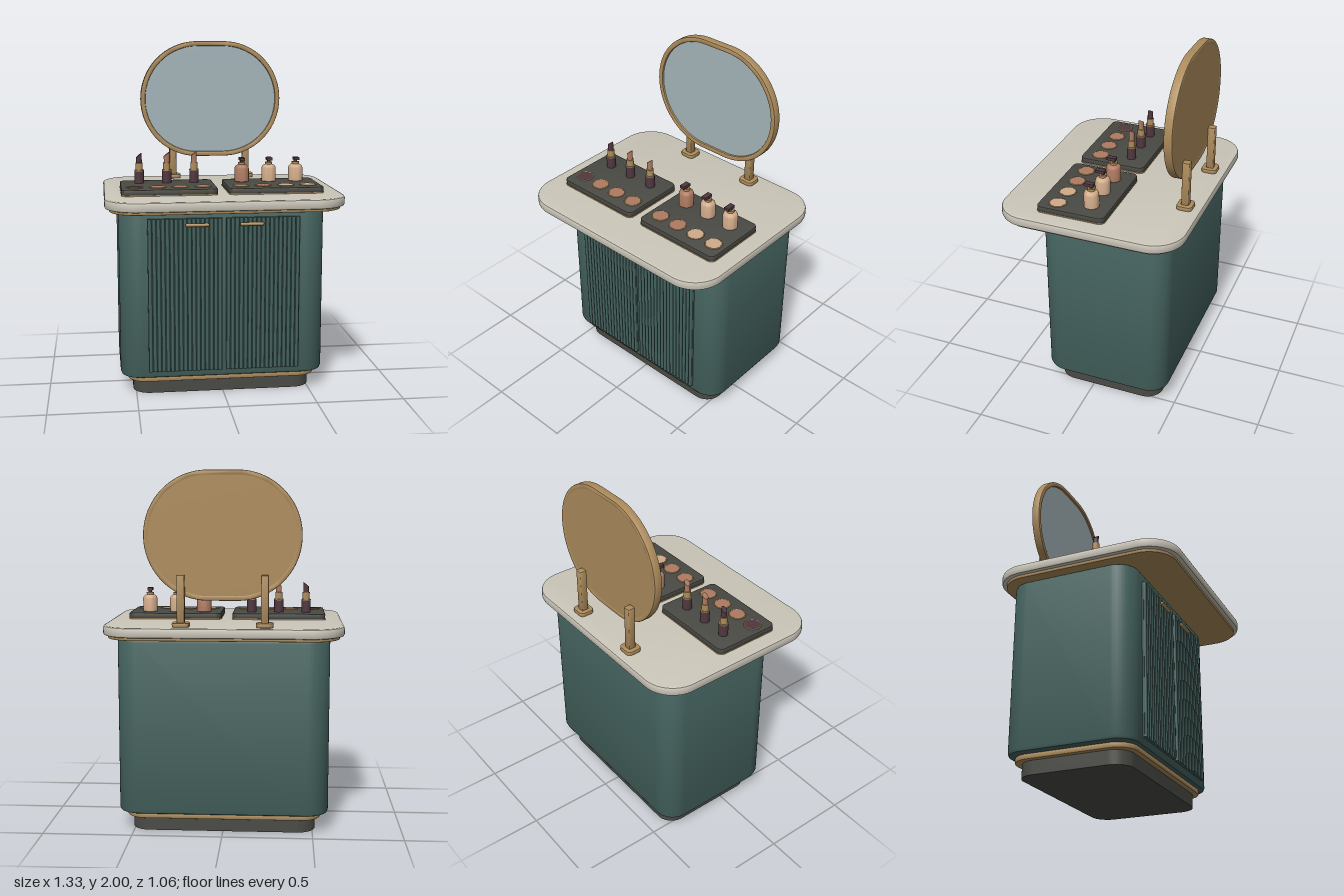
import * as THREE from 'three';
import { toCreasedNormals } from 'three/addons/utils/BufferGeometryUtils.js';

const mat = (name, color) => new THREE.MeshStandardMaterial({ name, color });

// Rounded rectangle outline centred on the origin
function roundedRect(w, h, r, Type = THREE.Shape) {
  const s = new Type(), x = w / 2, y = h / 2;
  s.moveTo(-x + r, -y);
  s.lineTo(x - r, -y);
  s.absarc(x - r, -y + r, r, -Math.PI / 2, 0);
  s.lineTo(x, y - r);
  s.absarc(x - r, y - r, r, 0, Math.PI / 2);
  s.lineTo(-x + r, y);
  s.absarc(-x + r, y - r, r, Math.PI / 2, Math.PI);
  s.lineTo(-x, -y + r);
  s.absarc(-x + r, -y + r, r, Math.PI, Math.PI * 1.5);
  return s;
}

// Extrusion from z = 0 to z = h whose bevel stays inside the outline
function extrude(shape, h, bevel = 0, bevelSegments = 2) {
  const g = new THREE.ExtrudeGeometry(shape, {
    depth: h - 2 * bevel, bevelEnabled: bevel > 0, bevelSize: bevel,
    bevelThickness: bevel, bevelOffset: -bevel, bevelSegments, curveSegments: 14,
  });
  g.translate(0, 0, bevel);
  return toCreasedNormals(g, 0.6);
}

export function createModel() {
  const model = new THREE.Group();
  model.name = 'vanityTable';
  const teal = mat('teal lacquer', 0x44625e);
  const stone = mat('cream stone', 0xcbc6b9);
  const brass = mat('brass', 0xad8c5c);
  const charcoal = mat('charcoal', 0x4a4a45);
  const glass = mat('mirror glass', 0xa5b5ba);
  const plum = mat('plum', 0x50383f);
  const clay = mat('terracotta', 0xae7a60);
  const peach = mat('peach', 0xd2ab8a);

  function add(name, geometry, material, x = 0, y = 0, z = 0, parent = model) {
    const m = new THREE.Mesh(geometry, material);
    m.name = name;
    m.position.set(x, y, z);
    parent.add(m);
    return m;
  }
  // Horizontal rounded slab standing on y
  const slab = (name, material, w, d, r, y, h, bevel, x, z, parent) =>
    add(name, extrude(roundedRect(w, d, r), h, bevel).rotateX(-Math.PI / 2), material, x, y, z, parent);
  const cyl = (r0, r1, h, n = 24) => new THREE.CylinderGeometry(r1, r0, h, n).translate(0, h / 2, 0);

  // Cabinet
  const cz = -0.085;
  slab('plinth', charcoal, 1.03, 0.63, 0.1, 0, 0.077, 0, 0, cz);
  slab('lowerBrassBand', brass, 1.09, 0.69, 0.11, 0.077, 0.03, 0.005, 0, cz);
  slab('cabinetBody', teal, 1.175, 0.74, 0.12, 0.105, 0.985, 0.02, 0, cz);
  slab('upperBrassBand', brass, 1.28, 1.01, 0.16, 1.088, 0.022, 0.004, 0, 0);
  slab('worktop', stone, 1.33, 1.062, 0.185, 1.105, 0.055, 0.012, 0, 0);

  // Fluted doors with bar handles
  const ribs = 17, doorW = 0.42, pitch = doorW / ribs;
  for (const side of [-1, 1]) {
    const door = new THREE.Group();
    door.name = side < 0 ? 'rightDoor' : 'leftDoor';
    door.position.set(side * 0.221, 0.59, 0.285);
    model.add(door);
    add('doorPanel', new THREE.BoxGeometry(doorW, 0.88, 0.012), teal, 0, 0, 0.004, door);
    const rib = new THREE.CylinderGeometry(pitch * 0.42, pitch * 0.42, 0.88, 10);
    for (let i = 0; i < ribs; i++)
      add('doorRib', rib, teal, (i + 0.5) * pitch - doorW / 2, 0, 0.011, door);
    const bar = add('handle', new THREE.CapsuleGeometry(0.01, 0.115, 5, 12), brass, side * -0.067, 0.405, 0.03, door);
    bar.rotation.z = Math.PI / 2;
    for (const dx of [-0.045, 0.045])
      add('handleStud', new THREE.BoxGeometry(0.012, 0.012, 0.02), brass, side * -0.067 + dx, 0.405, 0.02, door);
  }

  // Oval mirror: solid back, raised rim and glass
  const mirror = new THREE.Group();
  mirror.name = 'mirror';
  mirror.position.set(0, 1.65, -0.42);
  model.add(mirror);
  const rim = roundedRect(0.858, 0.7, 0.349);
  rim.holes.push(roundedRect(0.8, 0.642, 0.32, THREE.Path));
  add('mirrorRim', extrude(rim, 0.048, 0.006), brass, 0, 0, 0, mirror);
  add('mirrorBack', extrude(roundedRect(0.84, 0.682, 0.34), 0.025), brass, 0, 0, 0.001, mirror);
  add('mirrorGlass', extrude(roundedRect(0.81, 0.652, 0.325), 0.008), glass, 0, 0, 0.028, mirror);

  // Mirror posts and feet
  for (const x of [-0.23, 0.225]) {
    slab('mirrorFoot', brass, 0.094, 0.09, 0.025, 1.16, 0.024, 0.004, x, -0.44);
    slab('mirrorPost', brass, 0.042, 0.042, 0.006, 1.18, 0.26, 0.003, x, -0.44);
  }

  // Trays, each with four colour pans
  const top = 1.195;
  const pans = [[plum, clay, clay, clay], [clay, clay, peach, peach]];
  [-0.302, 0.298].forEach((x, t) => {
    const tray = new THREE.Group();
    tray.name = t ? 'leftTray' : 'rightTray';
    tray.position.x = x;
    model.add(tray);
    slab('trayTrim', brass, 0.538, 0.398, 0.034, 1.158, 0.008, 0, 0, 0.107, tray);
    slab('trayBody', charcoal, 0.535, 0.395, 0.033, 1.162, 0.033, 0.005, 0, 0.107, tray);
    pans[t].forEach((color, i) => {
      const px = (i - 1.5) * 0.1285;
      const ring = add('panRing', new THREE.TorusGeometry(0.045, 0.004, 8, 32), brass, px, top, 0.203, tray);
      ring.rotation.x = Math.PI / 2;
      add('pan', cyl(0.044, 0.044, 0.005, 32), color, px, top - 0.002, 0.203, tray);
    });
  });

  // Lipsticks with slanted tips
  [plum, clay, clay].forEach((color, i) => {
    const stick = new THREE.Group();
    stick.name = 'lipstick';
    stick.position.set(-0.46 + i * 0.1585, top - 0.002, 0.02);
    model.add(stick);
    add('lipstickCase', cyl(0.027, 0.027, 0.074), plum, 0, 0, 0, stick);
    add('caseRing', cyl(0.0275, 0.0275, 0.006), brass, 0, 0.072, 0, stick);
    add('lipstickCollar', cyl(0.021, 0.021, 0.042), brass, 0, 0.076, 0, stick);
    const h = 0.047 + i * 0.003;
    const g = cyl(0.016, 0.016, h, 20).toNonIndexed();
    const p = g.attributes.position;
    for (let k = 0; k < p.count; k++)
      if (p.getY(k) > h / 2) p.setY(k, h + p.getX(k) * 0.8);
    add('lipstickTip', toCreasedNormals(g, 0.6), color, 0, 0.117, 0, stick);
  });

  // Pump bottles
  const profile = [[0, 0], [0.038, 0], [0.042, 0.004], [0.042, 0.078], [0.038, 0.09], [0.028, 0.098], [0.018, 0.102], [0, 0.102]]
    .map(([x, y]) => new THREE.Vector2(x, y));
  const bottleBody = toCreasedNormals(new THREE.LatheGeometry(profile, 28), 0.7);
  [clay, peach, peach].forEach((color, i) => {
    const bottle = new THREE.Group();
    bottle.name = 'pumpBottle';
    bottle.position.set(0.136 + i * 0.159, top - 0.002, 0.02);
    model.add(bottle);
    add('bottleBody', bottleBody, color, 0, 0, 0, bottle);
    add('bottleNeck', cyl(0.021, 0.021, 0.014), brass, 0, 0.1, 0, bottle);
    add('pumpStem', cyl(0.01, 0.01, 0.016, 16), plum, 0, 0.113, 0, bottle);
    add('pumpNozzle', new THREE.BoxGeometry(0.03, 0.016, 0.055), plum, 0, 0.133, 0.012, bottle);
  });

  return model;
}
